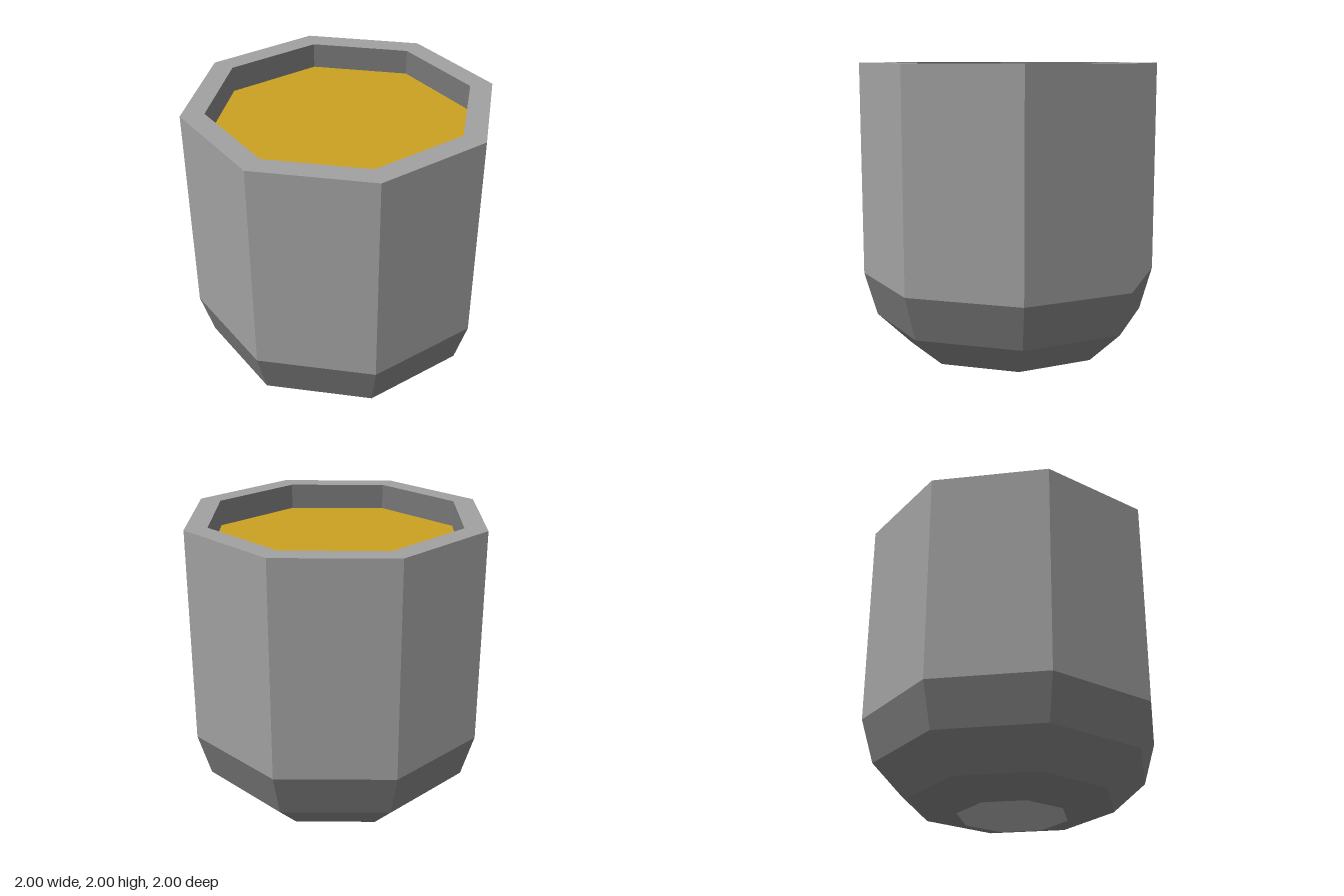
import * as THREE from 'three';

const SIDES = 8;

export function createModel() {
  const model = new THREE.Group();
  model.name = 'octagonalCup';

  const material = (name, color) => {
    const m = new THREE.MeshStandardMaterial({ color, flatShading: true });
    m.name = name;
    return m;
  };
  const lightGrey = material('lightGrey', 0xa0a0a0);
  const darkGrey = material('darkGrey', 0x777777);
  const gold = material('gold', 0xc9a022);

  const add = (name, geometry, mat) => {
    const mesh = new THREE.Mesh(geometry, mat);
    mesh.name = name;
    model.add(mesh);
    return mesh;
  };
  const ring = (name, points, mat) =>
    add(name, new THREE.LatheGeometry(points.map(([r, y]) => new THREE.Vector2(r, y)), SIDES), mat);
  const disc = (name, radius, y, up, mat) => {
    const mesh = add(name, new THREE.CircleGeometry(radius, SIDES), mat);
    mesh.rotation.x = up ? -Math.PI / 2 : Math.PI / 2;
    mesh.position.y = y;
  };

  // Straight outer wall and flat rim
  ring('outerWall', [[1, 0.58], [1, 2]], lightGrey);
  ring('rim', [[1, 2], [0.85, 2]], lightGrey);

  // Rounded lower edge: a quarter ellipse in three steps
  const bevel = [];
  for (let i = 0; i <= 3; i++) {
    const a = (i / 3) * Math.PI / 2;
    bevel.push([0.366 + 0.634 * Math.sin(a), 0.58 * (1 - Math.cos(a))]);
  }
  ring('roundedBase', bevel, darkGrey);
  disc('baseCap', 0.366, 0, false, lightGrey);

  // Shallow recess with its filled surface
  ring('innerWall', [[0.85, 2], [0.85, 1.83]], darkGrey);
  disc('filling', 0.85, 1.83, true, gold);

  return model;
}
